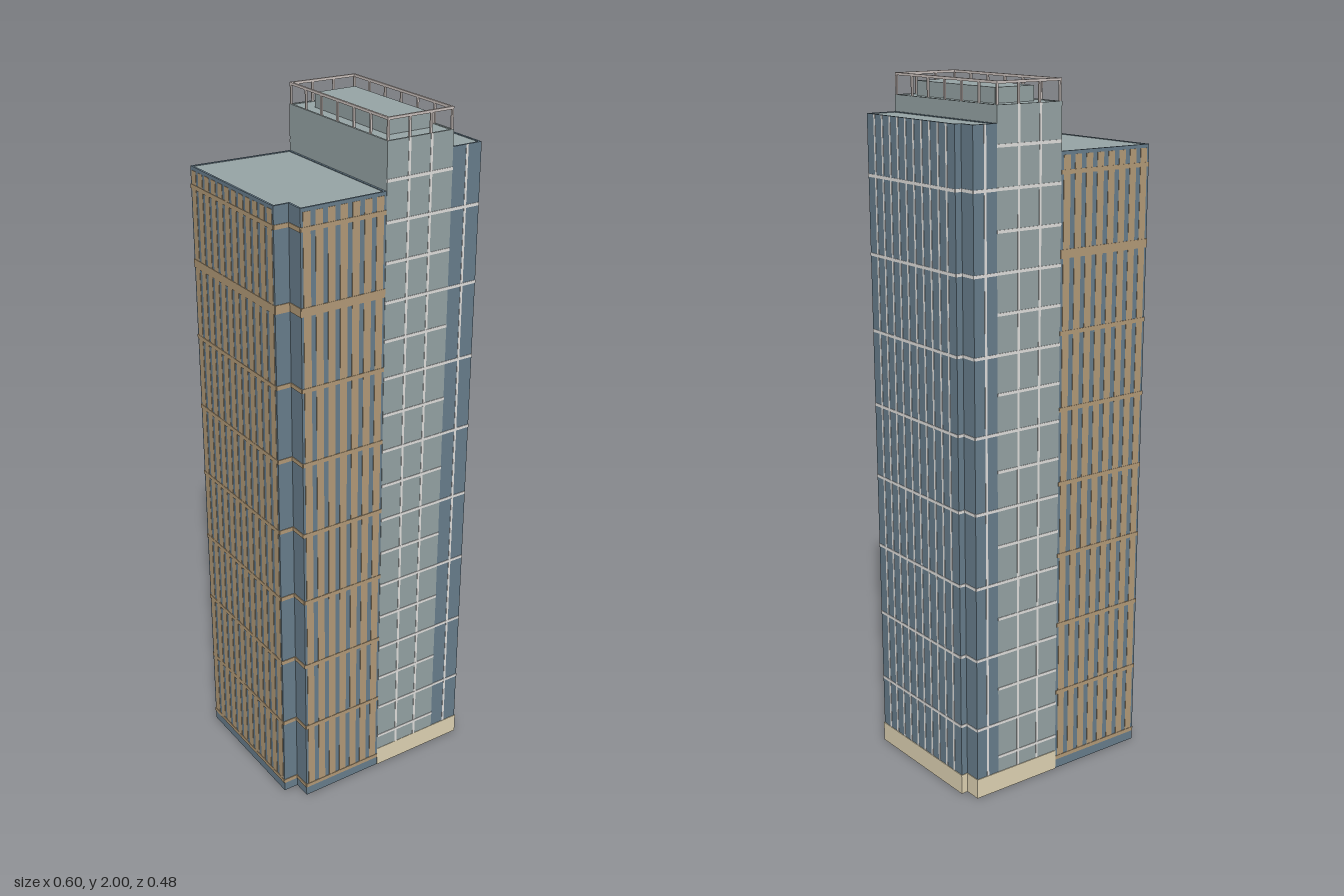
import * as THREE from 'three';

const mat = (name, color) => {
  const m = new THREE.MeshStandardMaterial({ color });
  m.name = name;
  return m;
};

export function createModel() {
  const glass = mat('blue glass', 0x697f8e);
  const grey = mat('grey cladding', 0x97a5a6);
  const bronze = mat('bronze fins', 0xb59c79);
  const white = mat('pale mullions', 0xe4e2e0);
  const stone = mat('sandstone base', 0xe2d6b6);
  const steel = mat('railing', 0xcdc3bf);

  const model = new THREE.Group();
  model.name = 'tower';
  const group = (name) => {
    const g = new THREE.Group();
    g.name = name;
    model.add(g);
    return g;
  };
  const add = (parent, name, geometry, material) => {
    const mesh = new THREE.Mesh(geometry, material);
    mesh.name = name;
    parent.add(mesh);
    return mesh;
  };

  // Moves every edge of a footprint inwards by d (negative d moves outwards)
  const inset = (pts, d) => {
    const n = pts.length;
    const s = Math.sign(pts.reduce((a, p, i) => {
      const q = pts[(i + 1) % n];
      return a + p[0] * q[1] - q[0] * p[1];
    }, 0));
    const normal = (p, q) => {
      const l = Math.hypot(q[0] - p[0], q[1] - p[1]);
      return [-s * (q[1] - p[1]) / l, s * (q[0] - p[0]) / l];
    };
    return pts.map((p, i) => {
      const a = normal(pts[(i + n - 1) % n], p), b = normal(p, pts[(i + 1) % n]);
      const k = d / (1 + a[0] * b[0] + a[1] * b[1]);
      return [p[0] + (a[0] + b[0]) * k, p[1] + (a[1] + b[1]) * k];
    });
  };
  // Raises an (x, z) footprint, with an optional hole wound the other way, from y0 to y1
  const rise = (pts, y0, y1, hole) => {
    const flat = (list) => list.map(([x, z]) => new THREE.Vector2(x, -z));
    const shape = new THREE.Shape(flat(pts));
    if (hole) shape.holes.push(new THREE.Path(flat(hole).reverse()));
    return new THREE.ExtrudeGeometry(shape, { depth: y1 - y0, bevelEnabled: false })
      .rotateX(-Math.PI / 2).translate(0, y0, 0);
  };
  // Hollow walls open below, with a roof set just under the parapet
  const block = (parent, pts, height, wallMat) => {
    const inner = inset(pts, 0.006);
    add(parent, 'walls', rise(pts, 0, height, inner), wallMat);
    add(parent, 'roof', rise(inner, height - 0.007, height - 0.002), grey);
  };
  // A bar lying on the wall from a to b, between distances t0 and t1
  const bar = (parent, name, [a, b], t0, t1, y0, y1, material, depth = 0.002) => {
    const dx = b[0] - a[0], dz = b[1] - a[1], l = Math.hypot(dx, dz), t = (t0 + t1) / 2 / l;
    const m = add(parent, name, new THREE.BoxGeometry(t1 - t0, y1 - y0, depth), material);
    m.position.set(a[0] + dx * t, (y0 + y1) / 2, a[1] + dz * t);
    m.rotation.y = -Math.atan2(dz, dx);
  };
  const len = ([a, b]) => Math.hypot(b[0] - a[0], b[1] - a[1]);

  // Footprints
  const L = [[0, 0.235], [-0.255, 0.235], [-0.255, 0.182], [-0.299, 0.182], [-0.299, -0.238], [0, -0.221]];
  const C = [[0, 0.236], [0.205, 0.236], [0.205, -0.209], [0, -0.221]];
  const R = [[0.205, 0.235], [0.298, 0.235], [0.298, -0.157], [0.278, -0.157], [0.278, -0.205], [0.205, -0.209]];

  // Lower wing with bronze fins and bands
  const lower = group('finnedWing');
  block(lower, L, 1.815, glass);
  [7, 0, 0, 12, 8].forEach((count, e) => {
    const edge = [L[e], L[e + 1]], l = len(edge);
    for (let i = 0; i < count; i++) {
      const t = (i + 0.5) * l / count;
      bar(lower, 'fin', edge, t - 0.011, t + 0.011, 0.03, 1.805, bronze);
    }
    for (let i = 0; i < 9; i++) {
      const y = 0.035 + i * 0.2157, h = i === 7 ? 0.012 : 0.006;
      bar(lower, 'band', edge, 0, l, y - h, y + h, bronze, 0.004);
    }
  });

  // Tall central core with a fine grid on front and back
  const core = group('core');
  block(core, C, 1.942, grey);
  add(core, 'partition', new THREE.BoxGeometry(0.002, 1.8, 0.436), glass).position.set(0.007, 0.9, 0.01);
  for (const edge of [[C[0], C[1]], [C[3], C[2]]]) {
    const l = len(edge);
    for (const f of [1 / 3, 2 / 3])
      bar(core, 'mullion', edge, l * f - 0.0035, l * f + 0.0035, 0.06, 1.942, white);
    for (let i = 1; i <= 17; i++)
      bar(core, 'floorLine', edge, 0, l, i * 0.1083 - 0.0042, i * 0.1083 + 0.0042, white, 0.003);
  }

  // Side wing of glass with pale mullions
  const side = group('glassWing');
  block(side, R, 1.897, glass);
  [2, 11, 0, 1, 2].forEach((bays, e) => {
    const edge = [R[e], R[e + 1]], l = len(edge);
    for (let i = 1; i < bays; i++) {
      const t = i * l / bays;
      bar(side, 'mullion', edge, t - 0.0035, t + 0.0035, 0.06, 1.897, white);
    }
    for (let i = 1; i <= 8; i++)
      bar(side, 'floorLine', edge, 0, l, i * 0.2165 - 0.0042, i * 0.2165 + 0.0042, white, 0.003);
  });

  // Stone base around the core and the glass wing
  const plinth = [[0, 0.235], ...R.slice(1, 5), [0, -0.221]];
  const outer = inset(plinth, -0.002).map(([x, z]) => [Math.max(x, 0), z]);
  add(group('base'), 'stoneBase', rise(outer, 0, 0.06, inset(plinth, 0.001)), stone);

  // Rooftop plant room and railing
  const top = group('rooftop');
  add(top, 'plantRoom', new THREE.BoxGeometry(0.128, 0.045, 0.338), grey)
    .position.set(0.104, 1.9575, 0.014);
  const rail = inset(C, 0.004);
  [3, 6, 3, 6].forEach((bays, e) => {
    const edge = [rail[e], rail[(e + 1) % 4]], l = len(edge);
    bar(top, 'handrail', edge, -0.003, l + 0.003, 1.993, 2, steel, 0.006);
    for (let i = 0; i < bays; i++)
      bar(top, 'post', edge, i * l / bays - 0.003, i * l / bays + 0.003, 1.94, 1.995, steel, 0.005);
  });

  return model;
}
